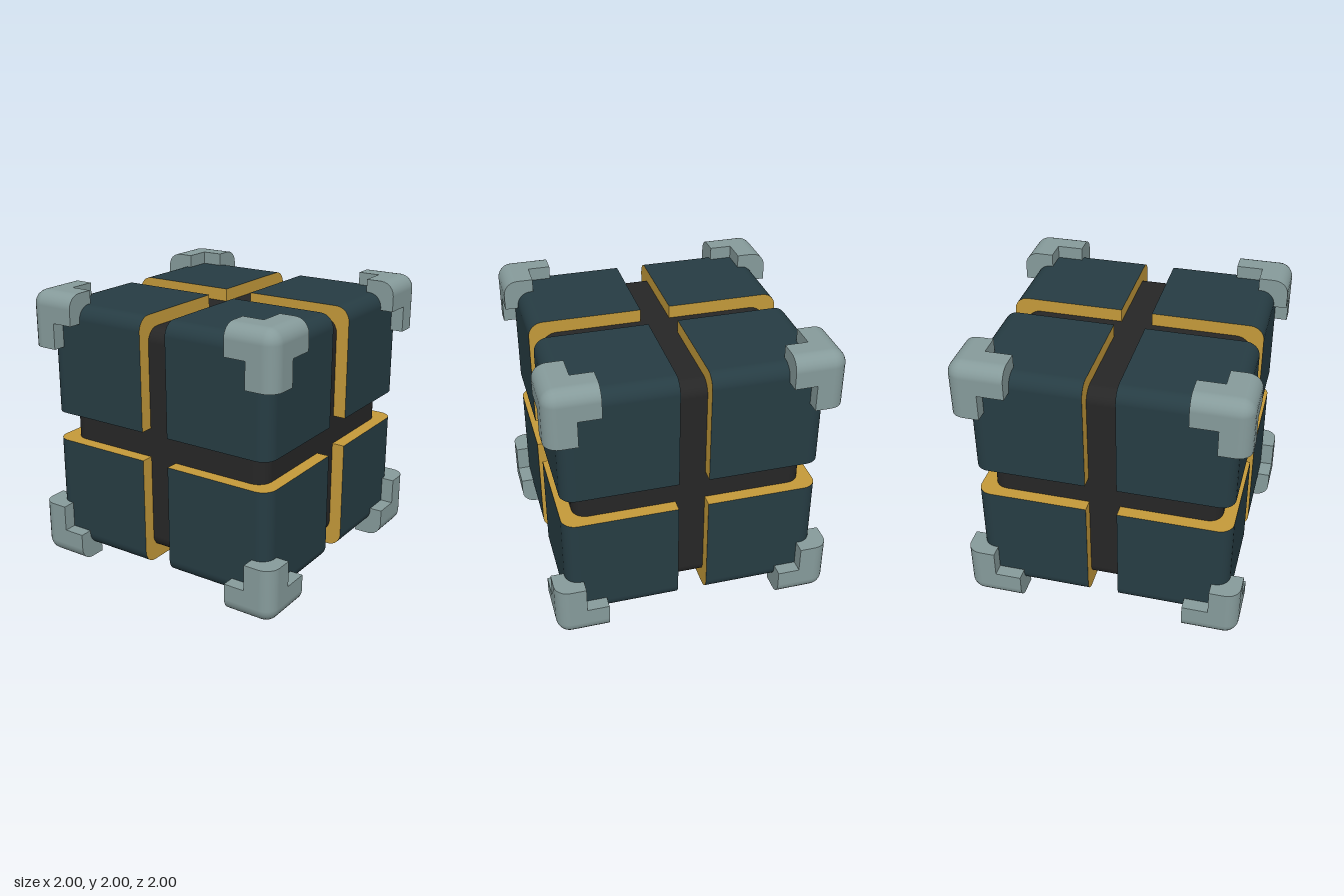
import * as THREE from 'three';
import { RoundedBoxGeometry } from 'three/addons/geometries/RoundedBoxGeometry.js';

const material = (name, color) => {
  const m = new THREE.MeshStandardMaterial({ color });
  m.name = name;
  return m;
};

// Box from lo (per axis) to hi, rounded only at its outer edges and corner,
// mirrored into the octant given by signs. Inner faces keep group indices 1, 3, 5.
function octantBox(lo, hi, radius, signs, arcSteps = 4) {
  const n = arcSteps + 1;
  const geo = new THREE.BoxGeometry(1, 1, 1, n, n, n);
  const pos = geo.attributes.position;
  const nor = geo.attributes.normal;
  const c = hi - radius;
  for (let i = 0; i < pos.count; i++) {
    const p = [pos.getX(i), pos.getY(i), pos.getZ(i)];
    const normal = new THREE.Vector3().fromBufferAttribute(nor, i);
    const outer = normal.x + normal.y + normal.z > 0;
    const base = [], d = new THREE.Vector3();
    p.forEach((v, axis) => {
      const k = Math.round((v + 0.5) * n);
      base[axis] = k === 0 ? lo[axis] : c;
      d.setComponent(axis, k === 0 ? 0 : radius * Math.tan(((k - 1) / arcSteps) * Math.PI / 4));
    });
    // Map the square grid beyond c onto a round one
    const reach = Math.max(d.x, d.y, d.z);
    if (reach > 0) d.setLength(reach);
    if (outer) normal.copy(d).normalize();
    pos.setXYZ(i, ...base.map((b, a) => signs[a] * (b + d.getComponent(a))));
    nor.setXYZ(i, ...signs.map((s, a) => s * normal.getComponent(a)));
  }
  // An odd number of mirrorings turns the faces inside out, so swap corners
  if (signs[0] * signs[1] * signs[2] < 0) {
    const idx = geo.index;
    for (let i = 0; i < idx.count; i += 3) {
      const b = idx.getX(i + 1);
      idx.setX(i + 1, idx.getX(i + 2));
      idx.setX(i + 2, b);
    }
  }
  return geo;
}

export function createModel() {
  const black = material('core black', 0x262626);
  const teal = material('dark teal', 0x263c43);
  const gold = material('gold', 0xc49a3a);
  const steel = material('grey steel', 0x869b9b);

  const cube = new THREE.Group();
  cube.name = 'cube';
  cube.position.y = 1;

  // Dark core seen in the grooves
  const core = new THREE.Mesh(new RoundedBoxGeometry(1.63, 1.63, 1.63, 4, 0.1), black);
  core.name = 'core';
  cube.add(core);

  const armStart = [0.63, 0.6, 0.6];
  const armInner = 0.787;

  for (const x of [1, -1]) for (const y of [1, -1]) for (const z of [1, -1]) {
    const signs = [x, y, z];
    const place = `${y > 0 ? 'Top' : 'Bottom'}${z > 0 ? 'Front' : 'Back'}${x > 0 ? 'Left' : 'Right'}`;

    // Block with gold faces towards the grooves
    const block = new THREE.Mesh(
      octantBox([0.105, 0.105, 0.11], 0.907, 0.1, signs),
      [teal, gold, teal, gold, teal, gold]
    );
    block.name = `block${place}`;
    cube.add(block);

    // Corner guard: three arms along the edges that meet in the corner
    const guard = new THREE.Group();
    guard.name = `cornerGuard${place}`;
    for (let axis = 0; axis < 3; axis++) {
      const lo = [armInner, armInner, armInner];
      lo[axis] = armStart[axis];
      const arm = new THREE.Mesh(octantBox(lo, 1, 0.1, signs, 3), steel);
      arm.name = `guardArm${'XYZ'[axis]}`;
      guard.add(arm);
    }
    cube.add(guard);
  }

  const model = new THREE.Group();
  model.name = 'segmentedCube';
  model.add(cube);
  return model;
}
